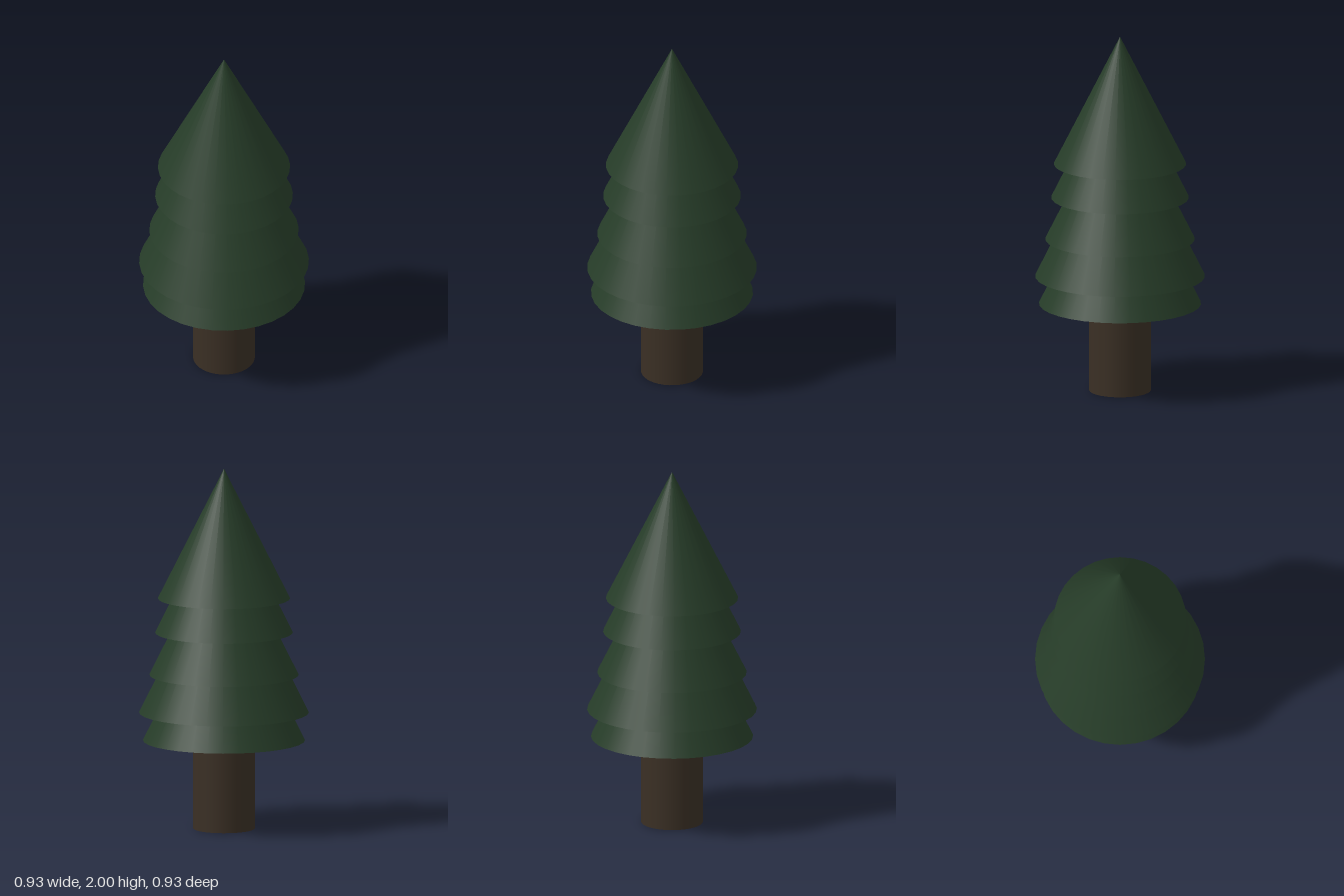
import * as THREE from 'three';

const SIDES = 32;

export function createModel() {
  const tree = new THREE.Group();
  tree.name = 'pineTree';

  const needles = new THREE.MeshStandardMaterial({ color: 0x263c28 });
  needles.name = 'dark green needles';
  const bark = new THREE.MeshStandardMaterial({ color: 0x3a2f24 });
  bark.name = 'dark brown bark';

  // Trunk, running slightly into the lowest tier
  const trunkHeight = 0.55;
  const trunk = new THREE.Mesh(new THREE.CylinderGeometry(0.17, 0.17, trunkHeight, SIDES), bark);
  trunk.name = 'trunk';
  trunk.position.y = trunkHeight / 2;
  tree.add(trunk);

  // Overlapping foliage cones, bottom to top: [base height, radius, cone height]
  const tiers = [
    [0.49, 0.445, 0.89],
    [0.645, 0.466, 0.94],
    [0.855, 0.41, 0.82],
    [1.09, 0.378, 0.76],
    [1.28, 0.363, 0.72],
  ];
  tiers.forEach(([base, radius, height], i) => {
    const tier = new THREE.Mesh(new THREE.ConeGeometry(radius, height, SIDES), needles);
    tier.name = `foliageTier${i + 1}`;
    tier.position.y = base + height / 2;
    tree.add(tier);
  });

  return tree;
}
